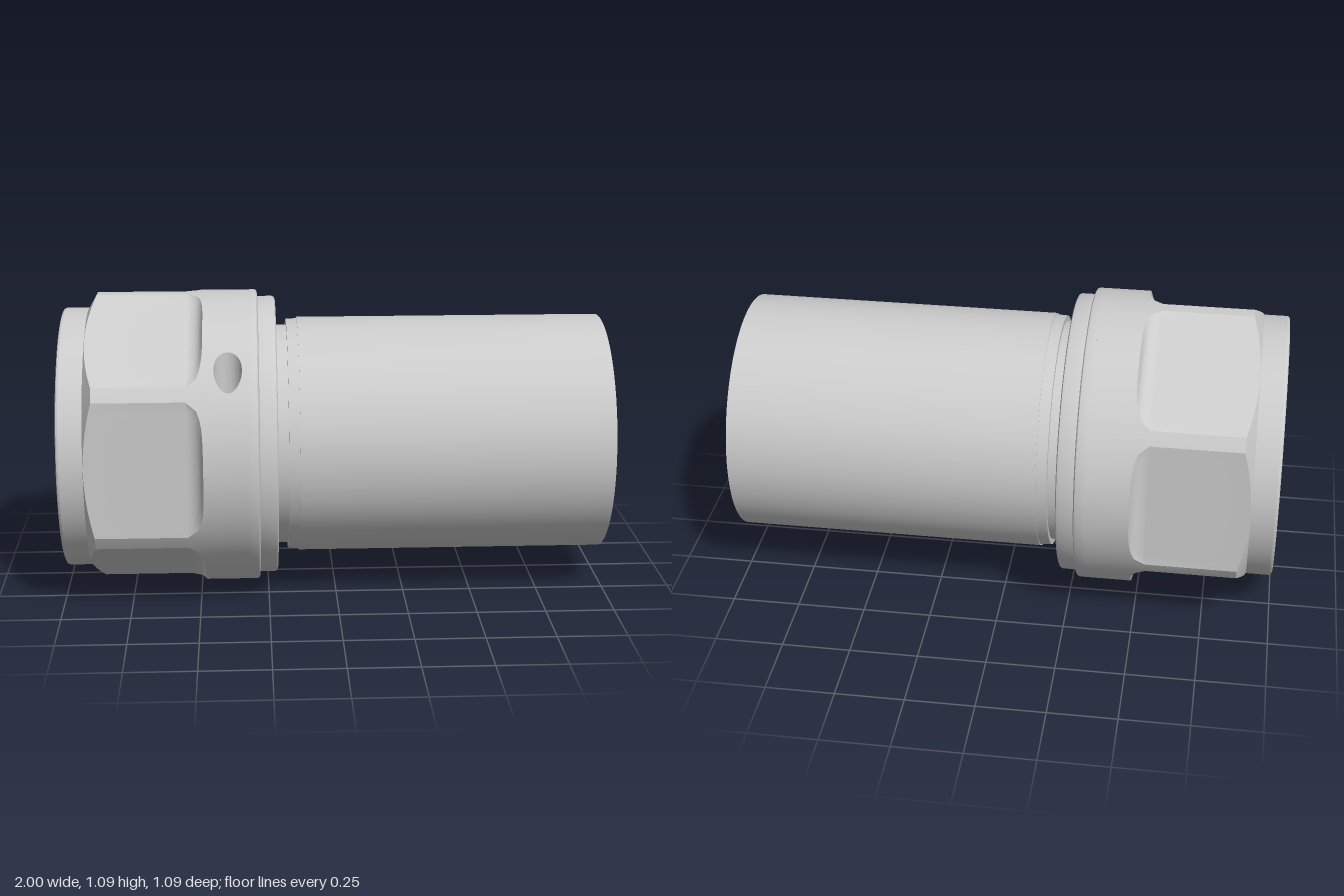
import * as THREE from 'three';
import { toCreasedNormals } from 'three/addons/utils/BufferGeometryUtils.js';

const AXIS_Y = 0.55;   // height of the common axis, which runs along x
const R = 0.545;       // outer radius of the nut
const FLAT = 0.485;    // distance of the hex flats from the axis
const CORNER = Math.acos(FLAT / R); // half angle covered by one flat
const SECTOR = Math.PI / 3;

const material = new THREE.MeshStandardMaterial({ color: 0xcccccc });

function addMesh(group, name, geometry) {
  const mesh = new THREE.Mesh(toCreasedNormals(geometry, 0.4), material);
  mesh.name = name;
  group.add(mesh);
}

// Turned part from [x, radius] points
function turned(points) {
  const g = new THREE.LatheGeometry(points.map(([x, r]) => new THREE.Vector2(r, x)), 128);
  return g.rotateZ(-Math.PI / 2);
}

// Surface from columns of 3D points; skip(i, j) leaves a cell open
function grid(columns, skip = () => false) {
  const pos = [];
  for (let i = 0; i < columns.length - 1; i++) {
    for (let j = 0; j < columns[i].length - 1; j++) {
      if (skip(i, j)) continue;
      const a = columns[i][j], b = columns[i][j + 1];
      const c = columns[i + 1][j + 1], d = columns[i + 1][j];
      for (const tri of [[a, b, c], [a, c, d]]) {
        const [p, q, r] = tri.map((v) => new THREE.Vector3(...v));
        if (q.sub(p).cross(r.sub(p)).length() > 1e-9) pos.push(...tri.flat());
      }
    }
  }
  const g = new THREE.BufferGeometry();
  g.setAttribute('position', new THREE.Float32BufferAttribute(pos, 3));
  return g;
}

const polar = (x, r, t) => [x, r * Math.sin(t), r * Math.cos(t)];

// Angles around the nut: 16 steps over each flat, 2 over each rounded corner
const angles = [];
for (let s = 0; s < 6; s++) {
  for (let k = 0; k < 16; k++) angles.push(s * SECTOR - CORNER + (k / 16) * 2 * CORNER);
  for (let k = 0; k < 2; k++) angles.push(s * SECTOR + CORNER + (k / 2) * (SECTOR - 2 * CORNER));
}
angles.push(angles[0] + 2 * Math.PI);

const BAND = [-0.46, -0.32];     // plain band that carries the hole
const HOLE_COLS = [16, 23];      // angle steps left open around the hole

// Hexagon with chamfered front corners and a fillet running out at the back
function hexSurface() {
  const fillet = 0.06, x0 = -0.54, steps = 8;
  const columns = angles.map((t) => {
    const local = t - Math.round(t / SECTOR) * SECTOR;
    const cos = Math.cos(local);
    const h = Math.min(R, FLAT / cos);
    const rise = Math.max(0, R * cos - FLAT);
    const run = Math.sqrt(Math.max(0, fillet ** 2 - (fillet - Math.min(rise, fillet)) ** 2));
    const col = [[-0.905, 0.483], [-0.905 + ((h - 0.483) / (R - 0.483)) * 0.035, h]];
    for (let k = 0; k <= steps; k++) {
      const dx = (run * k) / steps;
      const lift = fillet - Math.sqrt(fillet ** 2 - dx ** 2);
      col.push([x0 + dx, Math.min(R, (FLAT + lift) / cos)]);
    }
    col.push([BAND[0], R], [BAND[1], R]);
    return col.map(([x, r]) => polar(x, r, t));
  });
  const last = columns[0].length - 2;
  return grid(columns, (i, j) => j === last && i >= HOLE_COLS[0] && i < HOLE_COLS[1]);
}

// Blind upright hole with the piece of nut surface around it
function wireHole() {
  const x0 = -0.39, z0 = 0.42, r = 0.05, floor = 0.22;
  const t0 = angles[HOLE_COLS[0]], t1 = angles[HOLE_COLS[1]], tc = Math.acos(z0 / R);
  const columns = [];
  for (let k = 0; k <= 64; k++) {
    const a = (k / 64) * 2 * Math.PI, c = Math.cos(a), s = Math.sin(a);
    const m = Math.max(Math.abs(c), Math.abs(s));
    const x = x0 + r * c, z = z0 - r * s, t = Math.acos(z / R);
    const xo = x0 + (c / m) * (c < 0 ? x0 - BAND[0] : BAND[1] - x0);
    const to = tc + (s / m) * (s < 0 ? tc - t0 : t1 - tc);
    const col = [[x0, floor, z0], [x, floor, z]];
    for (let j = 0; j <= 4; j++) {
      col.push(polar(x + ((xo - x) * j) / 4, R, t + ((to - t) * j) / 4));
    }
    columns.push(col);
  }
  return grid(columns);
}

export function createModel() {
  const model = new THREE.Group();
  model.name = 'tubeFitting';
  const parts = new THREE.Group();
  parts.name = 'fittingParts';
  parts.position.y = AXIS_Y;
  model.add(parts);

  // Coupling nut
  const nut = new THREE.Group();
  nut.name = 'couplingNut';
  parts.add(nut);
  addMesh(nut, 'hexBody', hexSurface());
  addMesh(nut, 'wireHole', wireHole());
  addMesh(nut, 'nutBoreAndRim', turned([
    [-0.5, 0.42], [-0.985, 0.42], [-1, 0.43], [-1, 0.473],
    [-0.997, 0.48], [-0.99, 0.483], [-0.905, 0.483],
  ]));
  addMesh(nut, 'nutBackCollar', turned([
    [BAND[1], R], [-0.292, R], [-0.286, 0.543], [-0.282, 0.537], [-0.28, 0.52],
    [-0.227, 0.52], [-0.219, 0.517], [-0.215, 0.508], [-0.215, 0.41],
  ]));

  // Neck and thin outer sleeve, tapering inside
  addMesh(parts, 'outerSleeve', turned([
    [-0.25, 0.412], [-0.175, 0.412], [-0.175, 0.433], [-0.135, 0.435], [-0.135, 0.44],
    [1, 0.44], [1, 0.43], [-0.1, 0.38], [-0.1, 0.33],
  ]));

  // Slender inner stem with a through bore and a stepped seat in the nut
  addMesh(parts, 'innerStem', turned([
    [-0.1, 0.33], [1, 0.285], [1, 0.28], [-0.55, 0.28],
    [-0.55, 0.36], [-0.5, 0.36], [-0.5, 0.42],
  ]));
  return model;
}
